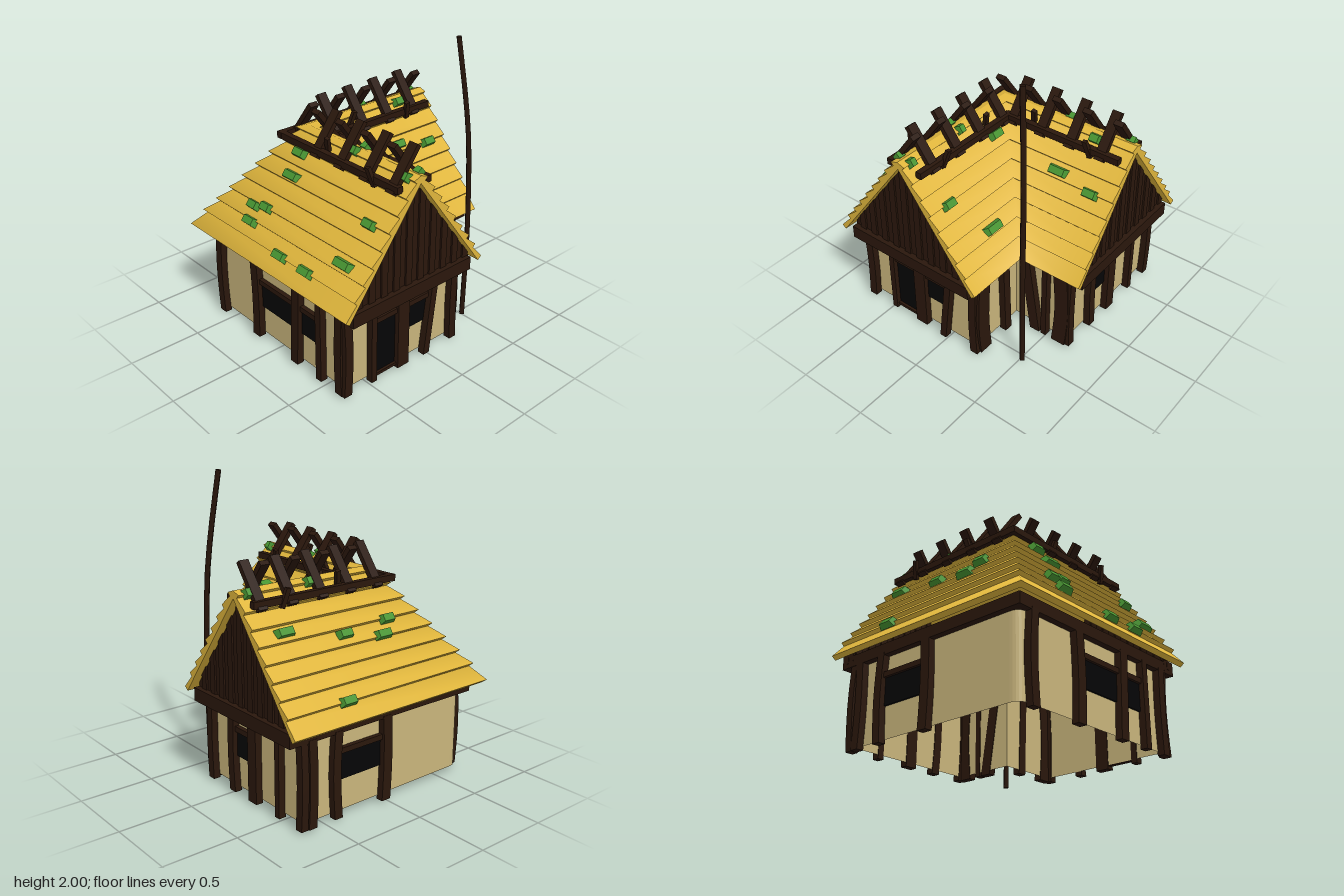
import * as THREE from 'three';

const R = -0.225;            // ridge line of both wings
const D = 0.575;             // ridge to eave
const SLOPE = 1.36;
const FRONT = 0.648, BACK = -0.678, INNER = 0.23;   // wall planes, alike in x and z
const mat = (color) => new THREE.MeshStandardMaterial({ color, side: THREE.DoubleSide });

export function createModel() {
  const wood = mat(0x2a170c), plaster = mat(0xc9b57c), thatch = mat(0xe0b63c);
  const green = mat(0x489532), dark = mat(0x050506);
  const house = new THREE.Group();
  house.name = 'cottage';

  const add = (parent, name, geo, material, x = 0, y = 0, z = 0) => {
    const m = new THREE.Mesh(geo, material);
    m.name = name;
    m.position.set(x, y, z);
    parent.add(m);
    return m;
  };
  const box = (w, h, d) => new THREE.BoxGeometry(w, h, d);
  const ribbon = (verts, index) => {
    const geo = new THREE.BufferGeometry();
    geo.setAttribute('position', new THREE.Float32BufferAttribute(verts, 3));
    geo.setIndex(index);
    geo.computeVertexNormals();
    return geo;
  };
  const roofY = (d) => 0.673 + (D - d) * SLOPE;

  // Roof cross-section: stepped courses on top, straight underside
  const half = [];
  for (let k = 0; k <= 8; k++) {
    const d = D - 0.065 * (8 - k);
    half.push([d, roofY(d)], [d - 0.02, roofY(d) - 0.02]);
  }
  half.splice(-2, 2, [D, 0.65], [D - 0.028, 0.627]);
  const mirrored = half.map(([s, y]) => [-s, y]).reverse();
  const profile = [...mirrored, [0, 1.4], ...half, [0, 1.35]];

  // Sweep it around the L; each strip is smooth across the mitred corner
  const station = [
    (s, y) => [R + s, y, 0.8],
    (s, y) => [R + s, y, R + s],
    (s, y) => [0.8, y, R + s],
  ];
  const verts = [], index = [];
  profile.forEach((p, i) => {
    const q = profile[(i + 1) % profile.length], n = verts.length / 3;
    for (const at of station) verts.push(...at(...p), ...at(...q));
    for (const a of [n, n + 2]) index.push(a, a + 1, a + 3, a, a + 3, a + 2);
  });
  add(house, 'thatchRoof', ribbon(verts, index), thatch);
  const capShape = new THREE.Shape(profile.map(([s, y]) => new THREE.Vector2(s, y)));

  // One wing: local x runs across the ridge, local z along it; outer = side of the outer slope
  function wing(name, outer, outerBoards) {
    const g = new THREE.Group();
    g.name = name;
    house.add(g);
    add(g, 'roofEnd', new THREE.ShapeGeometry(capShape), thatch, 0, 0, 0.8);

    // Gable planks
    for (let i = -10; i < 10; i++) {
      const a = i * 0.05, b = a + 0.05;
      const top = (s) => 1.36 - 1.35 * Math.abs(s);
      const shape = new THREE.Shape([[a, 0.6], [b, 0.6], [b, top(b)], [a, top(a)]].map((p) => new THREE.Vector2(...p)));
      const geo = new THREE.ExtrudeGeometry(shape, { depth: 0.025, bevelEnabled: false });
      add(g, 'gablePlank', geo, wood, 0, 0, i % 2 ? 0.725 : 0.713);
    }

    // Beams under the gable and eaves
    add(g, 'gableBeam', box(0.995, 0.09, 0.1), wood, 0, 0.615, 0.73);
    for (const [side, start] of [[outer, -0.72], [-outer, 0.26]]) {
      add(g, 'eaveBeam', box(0.06, 0.075, 0.77 - start), wood, side * 0.467, 0.607, (0.77 + start) / 2);
    }

    // Ridge rails with loose pegs
    for (const [side, start] of [[outer, -0.365], [-outer, -0.135]]) {
      add(g, 'ridgeRail', box(0.042, 0.044, 0.75 - start), wood, side * 0.117, 1.325, (0.75 + start) / 2);
      for (const [t, s, y, lean] of [[0.08, 0.085, 1.37, 0.2], [0.53, 0.14, 1.34, -0.2]]) {
        const peg = add(g, 'ridgePeg', box(0.025, 0.13, 0.033), wood, side * s, y, t);
        peg.rotation.set(lean, 0, -side * 0.25);
      }
    }

    // Crossed ridge boards
    const crossBoard = (side, t) => {
      const b = add(g, 'crossBoard', box(0.034, 0.325, 0.066), wood, side * 0.04, 1.418, t);
      b.rotation.z = side * 0.64;
    };
    outerBoards.forEach((t) => crossBoard(outer, t));
    [-0.065, 0.16, 0.387, 0.615].forEach((t) => crossBoard(-outer, t));
    return g;
  }
  wing('frontWing', -1, [0.01, 0.235, 0.465, 0.69]).position.set(R, 0, 0);
  const side = wing('sideWing', 1, [-0.215, 0.01, 0.235, 0.465, 0.69]);
  side.position.set(0, 0, R);
  side.rotation.y = Math.PI / 2;

  // Plaster walls: open L ribbon with a rounded back corner
  const plan = new THREE.Shape();
  plan.moveTo(BACK, FRONT);
  plan.lineTo(INNER, FRONT);
  plan.lineTo(INNER, INNER);
  plan.lineTo(FRONT, INNER);
  plan.lineTo(FRONT, BACK);
  plan.lineTo(BACK + 0.07, BACK);
  plan.quadraticCurveTo(BACK, BACK, BACK, BACK + 0.07);
  plan.lineTo(BACK, FRONT);
  const outline = plan.getPoints(6), wallVerts = [], wallIndex = [];
  for (let i = 0; i < outline.length - 1; i++) {
    const p = outline[i], q = outline[i + 1], lo = 0.04, hi = 0.65, n = i * 4;
    wallVerts.push(p.x, lo, p.y, q.x, lo, q.y, q.x, hi, q.y, p.x, hi, p.y);
    wallIndex.push(n, n + 1, n + 2, n, n + 2, n + 3);
  }
  add(house, 'walls', ribbon(wallVerts, wallIndex), plaster);

  // Crooked posts: bow bends the middle, lean shifts the top; alongZ for walls facing x
  function post(x, z, w, bow = 0, lean = 0, alongZ = false) {
    const geo = new THREE.BoxGeometry(w, 0.57, 0.05, 1, 6, 1);
    const p = geo.attributes.position;
    for (let i = 0; i < p.count; i++) {
      const u = p.getY(i) / 0.57 + 0.5;
      p.setX(i, p.getX(i) + bow * Math.sin(u * Math.PI) + lean * (u - 0.5));
    }
    geo.computeVertexNormals();
    const m = add(house, 'post', geo, wood, x, 0.3, z);
    if (alongZ) m.rotation.y = -Math.PI / 2;
  }
  const f = FRONT + 0.021, b = BACK - 0.021, n = INNER + 0.021;
  // Front gable wall
  post(-0.69, f, 0.06, 0.012);
  post(-0.475, f, 0.042);
  post(R, f, 0.095);
  post(0.01, f + 0.01, 0.05, 0, 0.07);
  post(0.235, f, 0.058, -0.01);
  // Walls of the inner corner
  post(0.375, n, 0.075, 0, -0.09);
  post(0.49, n, 0.04);
  post(0.61, n, 0.105, 0.02);
  post(n, 0.385, 0.06, 0, 0.02, true);
  post(n, 0.61, 0.105, 0.02, 0, true);
  // Right gable wall
  post(f, 0.235, 0.058, 0.01, 0, true);
  post(f, -0.01, 0.06, 0.015, 0, true);
  post(f, R, 0.085, 0, 0, true);
  post(f, -0.48, 0.042, 0, 0, true);
  post(f, -0.69, 0.055, -0.012, 0, true);
  // Back and left walls
  post(0.61, b, 0.06, -0.01);
  post(0.41, b, 0.06, 0.015);
  post(0.02, b, 0.07, -0.01);
  post(b, -0.59, 0.06, -0.015, 0, true);
  post(b, -0.2, 0.07, 0.01, 0, true);
  post(b, 0.22, 0.07, 0, 0.03, true);
  post(b, 0.45, 0.05, 0, 0, true);
  post(b, 0.64, 0.06, -0.01, 0, true);

  // Dark openings with a lintel, set on the outer face of a wall; span from..to along it
  function opening(name, from, to, lo, hi, wall, alongZ) {
    const mid = (from + to) / 2, out = Math.sign(wall);
    const put = (part, w, h, d, y, m) => {
      const at = wall + out * (d / 2 + 0.001);
      return alongZ ? add(house, part, box(d, h, w), m, at, y, mid) : add(house, part, box(w, h, d), m, mid, y, at);
    };
    put(name, to - from, hi - lo, 0.012, (lo + hi) / 2, dark);
    put(name + 'Lintel', to - from + 0.02, 0.035, 0.03, hi + 0.015, wood);
  }
  opening('door', -0.46, -0.26, 0.05, 0.43, FRONT, false);
  opening('window', -0.19, 0.01, 0.255, 0.43, FRONT, false);
  opening('window', -0.19, -0.02, 0.255, 0.43, FRONT, true);
  opening('window', 0.05, 0.39, 0.25, 0.43, BACK, false);
  opening('window', -0.17, 0.19, 0.25, 0.43, BACK, true);
  opening('window', 0.25, 0.43, 0.25, 0.43, BACK, true);
  add(house, 'doorSill', box(0.2, 0.02, 0.03), wood, -0.36, 0.045, FRONT + 0.016);

  // Moss tufts lying on the slopes: x, z, length
  function moss(x, z, len, alongZ) {
    const s = (alongZ ? x : z) - R;
    const geo = alongZ ? box(0.06, 0.042, len) : box(len, 0.042, 0.06);
    const p = geo.attributes.position;
    for (let i = 0; i < p.count; i++) {
      if (p.getY(i) > 0) p.setXYZ(i, p.getX(i) * 0.78, p.getY(i), p.getZ(i) * 0.78);
    }
    geo.computeVertexNormals();
    const m = add(house, 'mossTuft', geo, green, x, roofY(Math.abs(s)) + 0.005, z);
    const tilt = Math.sign(s) * Math.atan(SLOPE);
    if (alongZ) m.rotation.z = -tilt;
    else m.rotation.x = tilt;
  }
  [[0.35, -0.735, 0.12], [-0.11, -0.535, 0.13], [-0.19, -0.48, 0.11], [0.175, -0.5, 0.11], [0.59, -0.445, 0.13],
    [0.37, 0, 0.14], [0.635, 0.03, 0.11], [0.53, -0.165, 0.08], [0.28, -0.28, 0.06], [0.73, -0.28, 0.06],
  ].forEach(([x, z, l]) => moss(x, z, l, false));
  [[-0.68, -0.275, 0.12], [-0.62, -0.31, 0.1], [-0.605, -0.195, 0.1], [-0.455, -0.115, 0.14], [-0.735, 0.1, 0.12],
    [-0.735, 0.35, 0.12], [-0.645, 0.59, 0.15], [-0.48, 0.635, 0.1], [0.2, 0.425, 0.15], [0.03, 0.635, 0.1],
    [-0.085, 0.04, 0.11], [-0.27, 0.28, 0.05], [-0.175, 0.28, 0.05], [-0.365, -0.14, 0.11], [-0.28, 0.73, 0.05], [-0.17, 0.73, 0.05],
  ].forEach(([x, z, l]) => moss(x, z, l, true));

  // Tall bent pole in the yard
  const path = new THREE.CatmullRomCurve3([[0.51, 0, 0.53], [0.51, 0.7, 0.535], [0.498, 1.3, 0.515], [0.48, 1.55, 0.495], [0.432, 2, 0.447]]
    .map((p) => new THREE.Vector3(...p)));
  add(house, 'yardPole', new THREE.TubeGeometry(path, 12, 0.022, 4), wood);

  return house;
}
